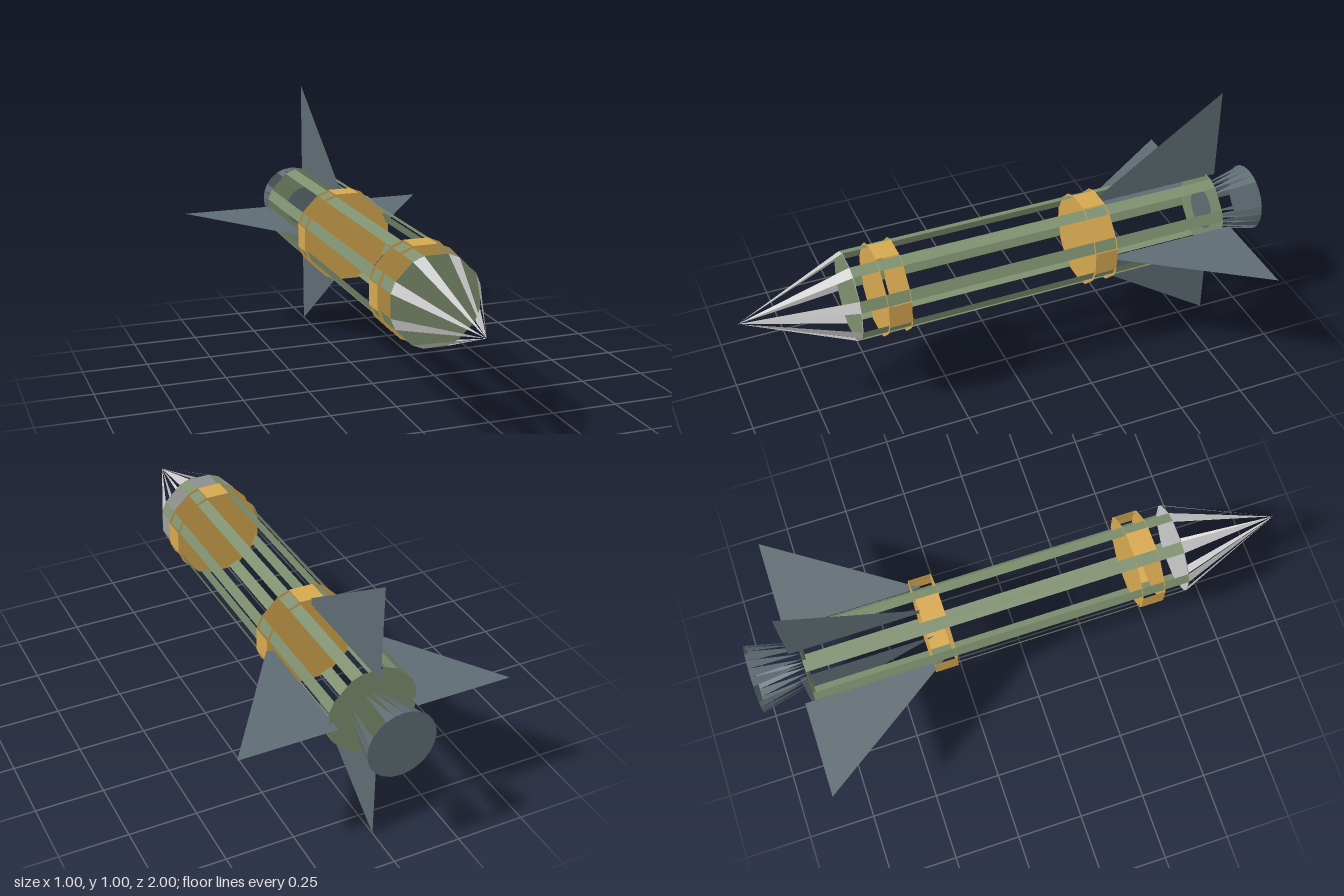
import * as THREE from 'three';

const CY = 0.5; // height of the long axis
const RAD = Math.PI / 180;

const mat = (color) => new THREE.MeshStandardMaterial({ color, flatShading: true, side: THREE.DoubleSide });

// point on a circle around the long axis
const ring = (deg, r, z) => [r * Math.cos(deg * RAD), CY + r * Math.sin(deg * RAD), z];

// mesh from a list of triangles, each three points
function triMesh(name, tris, material) {
  const geo = new THREE.BufferGeometry();
  geo.setAttribute('position', new THREE.Float32BufferAttribute(tris.flat(2), 3));
  geo.computeVertexNormals();
  const mesh = new THREE.Mesh(geo, material);
  mesh.name = name;
  return mesh;
}

// flat panel between two angles and two stations along z
const panel = (a, b, r, z0, z1) => {
  const p = ring(a, r, z0), q = ring(b, r, z0), s = ring(b, r, z1), t = ring(a, r, z1);
  return [[p, q, s], [p, s, t]];
};

// flat polygonal bulkhead; dir = 1 faces +z, -1 faces -z
const disc = (angles, r, z, dir) => angles.map((a, i) => {
  const p = ring(a, r, z), q = ring(angles[(i + 1) % angles.length], r, z);
  return dir > 0 ? [[0, CY, z], p, q] : [[0, CY, z], q, p];
});

export function createModel() {
  const model = new THREE.Group();
  const green = mat(0x7f9070), gold = mat(0xd6a850), steel = mat(0x5f6c73), pale = mat(0xcccccc);

  // eight narrow rails and the sixteen corners they share with the bulkheads
  const starts = [0, 90, 180, 270].flatMap((q) => [q + 15, q + 60]);
  const corners = starts.flatMap((a) => [a, a + 15]);

  // body rails and end bulkheads
  const R = 0.165, zFront = 0.6, zRear = -0.81;
  model.add(triMesh('bodyRails', starts.flatMap((a) => panel(a, a + 15, R, zRear, zFront)), green));
  model.add(triMesh('bodyFrontBulkhead', disc(corners, R, zFront + 0.001, 1), green));
  model.add(triMesh('bodyRearBulkhead', disc(corners, R, zRear, -1), green));

  // nose ribs meeting at the tip, with a base plate
  const tip = [0, CY, 1];
  model.add(triMesh('noseRibs', starts.map((a) => [ring(a, R, zFront), ring(a + 15, R, zFront), tip]), pale));
  model.add(triMesh('noseBase', disc(corners, R, zFront - 0.001, -1), pale));

  // two gold bands: a disc at each end and four outer panels
  for (const [name, z0, z1] of [['frontBand', 0.42, 0.505], ['rearBand', -0.37, -0.285]]) {
    const r = 0.174;
    model.add(triMesh(name, [
      ...[0, 90, 180, 270].flatMap((a) => panel(a - 15, a + 15, r, z0, z1)),
      ...disc(corners, r, z1, 1),
      ...disc(corners, r, z0, -1),
    ], gold));
  }

  // four thin triangular tail fins
  for (let i = 0; i < 4; i++) {
    const a = i * 90;
    model.add(triMesh('tailFin', [[ring(a, 0.145, -0.33), ring(a, 0.145, -0.85), ring(a, 0.5, -0.85)]], steel));
  }

  // nozzle: tapered spikes flaring back to a round end plate
  const round = Array.from({ length: 24 }, (_, i) => i * 15);
  const spikes = round
    .filter((a) => { const q = a % 90; return q < 30 || q >= 60; })
    .map((a) => [ring(a + 15, 0.125, -1), ring(a, 0.125, -1), ring(a + 7.5, 0.08, zRear)]);
  model.add(triMesh('nozzleSpikes', spikes, steel));
  model.add(triMesh('nozzleEndPlate', disc(round, 0.125, -1, -1), steel));
  model.add(triMesh('nozzleFrontPlate', disc(round, 0.08, zRear + 0.002, 1), steel));

  return model;
}
